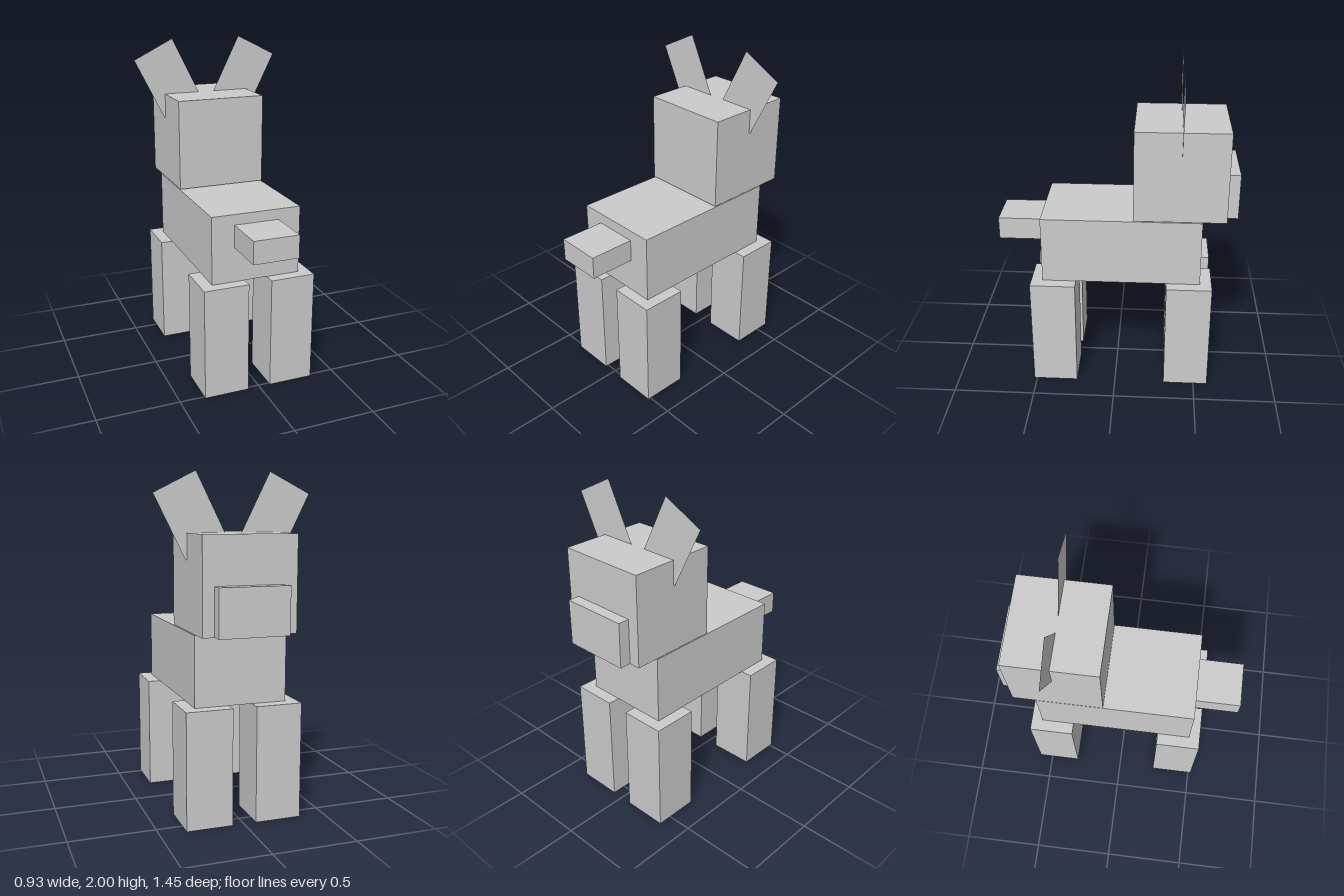
import * as THREE from 'three';

export function createModel() {
  const model = new THREE.Group();
  const material = new THREE.MeshStandardMaterial({ color: 0xcccccc, flatShading: true });
  const thin = new THREE.MeshStandardMaterial({ color: 0xcccccc, flatShading: true, side: THREE.DoubleSide });

  const U = 0.0688; // block unit
  const X = -0.002; // sideways centre of the body

  // Block sized in units; x and z are its centre, y its underside
  function block(name, [w, h, d], x, y, z) {
    const mesh = new THREE.Mesh(new THREE.BoxGeometry(w * U, h * U, d * U), material);
    mesh.name = name;
    mesh.position.set(X + x, y + (h * U) / 2, z);
    model.add(mesh);
  }

  // Trunk, head, muzzle and tail; the animal looks towards -z
  block('body', [8, 6, 14], 0, 0.692, -0.033);
  block('head', [8, 8, 8], 0, 1.11, -0.38);
  block('muzzle', [6, 4, 1], 0, 1.11, -0.69);
  block('tail', [4, 2, 4], 0, 0.904, 0.588);

  for (const side of [-1, 1]) {
    const label = side > 0 ? 'left' : 'right';

    // Legs
    block(label + 'HeadEndLeg', [4, 10, 4], side * 0.209, 0.003, -0.448);
    block(label + 'TailEndLeg', [4, 10, 4], side * 0.209, 0.003, 0.38);

    // Flat ears, splayed outwards through the top of the head
    const ear = new THREE.Mesh(new THREE.PlaneGeometry(4 * U, 6 * U), thin);
    ear.name = label + 'Ear';
    ear.position.set(X + side * 0.252, 1.756, -0.38);
    ear.rotation.z = -side * Math.atan(0.5);
    model.add(ear);
  }

  return model;
}
